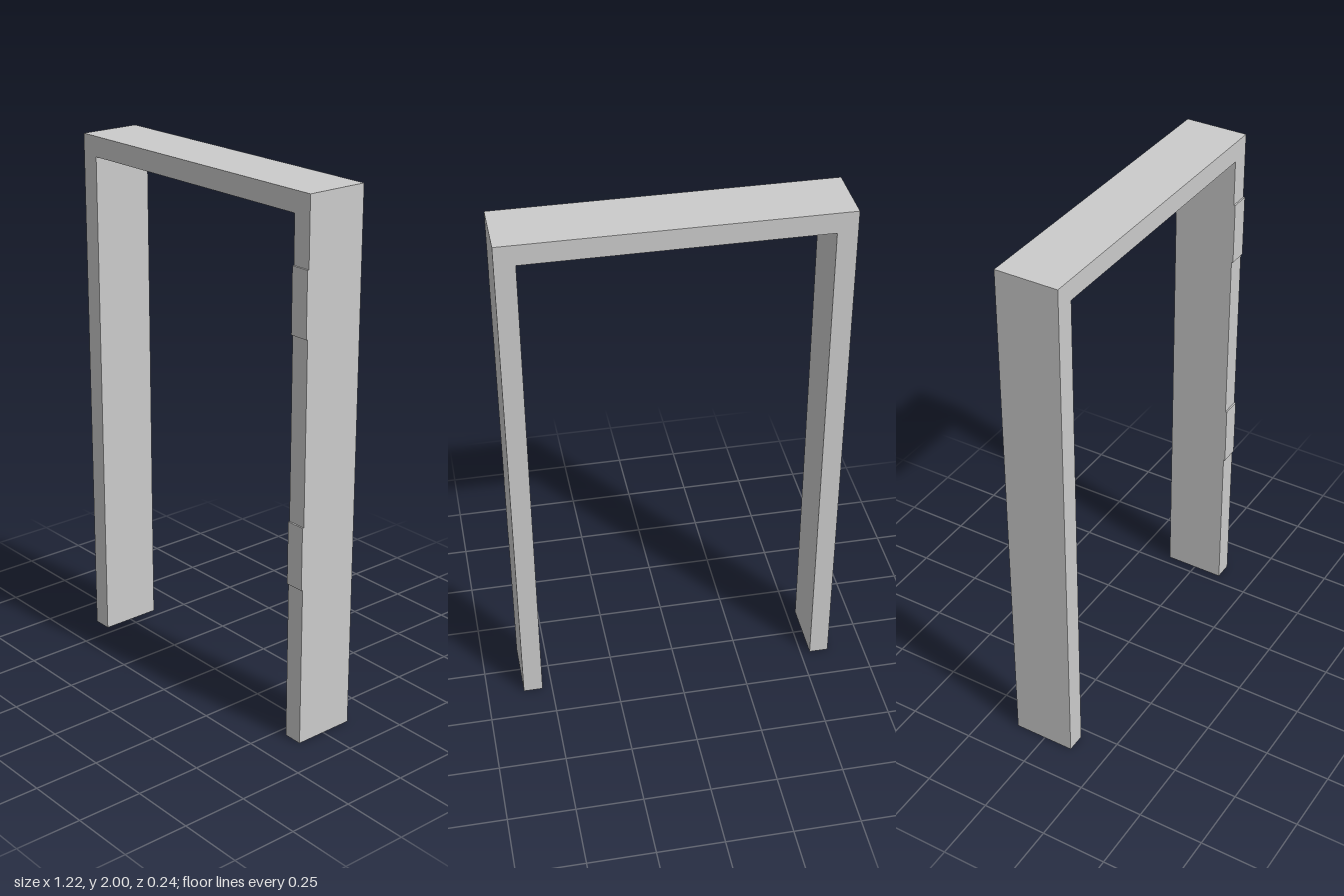
import * as THREE from 'three';

const W = 0.61, INNER = 0.537, H = 2, LINTEL = 1.924;
const BACK = -0.121, FRONT = 0.115, PLATE_FRONT = 0.121;

export function createModel() {
  const group = new THREE.Group();
  const material = new THREE.MeshStandardMaterial({ color: 0xcccccc });

  // Door frame: two jambs and a lintel as one U-shaped extrusion
  const outline = new THREE.Shape([
    [-W, 0], [-INNER, 0], [-INNER, LINTEL], [INNER, LINTEL],
    [INNER, 0], [W, 0], [W, H], [-W, H],
  ].map(([x, y]) => new THREE.Vector2(x, y)));
  const frame = new THREE.Mesh(
    new THREE.ExtrudeGeometry(outline, { depth: FRONT - BACK, bevelEnabled: false }),
    material,
  );
  frame.position.z = BACK;
  frame.name = 'doorFrame';
  group.add(frame);

  // Thin hinge plates on the front of the left jamb
  const plate = new THREE.BoxGeometry(W - INNER, 0.236, PLATE_FRONT - FRONT);
  for (const [name, y] of [['lowerHingePlate', 0.725], ['upperHingePlate', 1.633]]) {
    const hinge = new THREE.Mesh(plate, material);
    hinge.position.set((W + INNER) / 2, y, (FRONT + PLATE_FRONT) / 2);
    hinge.name = name;
    group.add(hinge);
  }
  return group;
}
